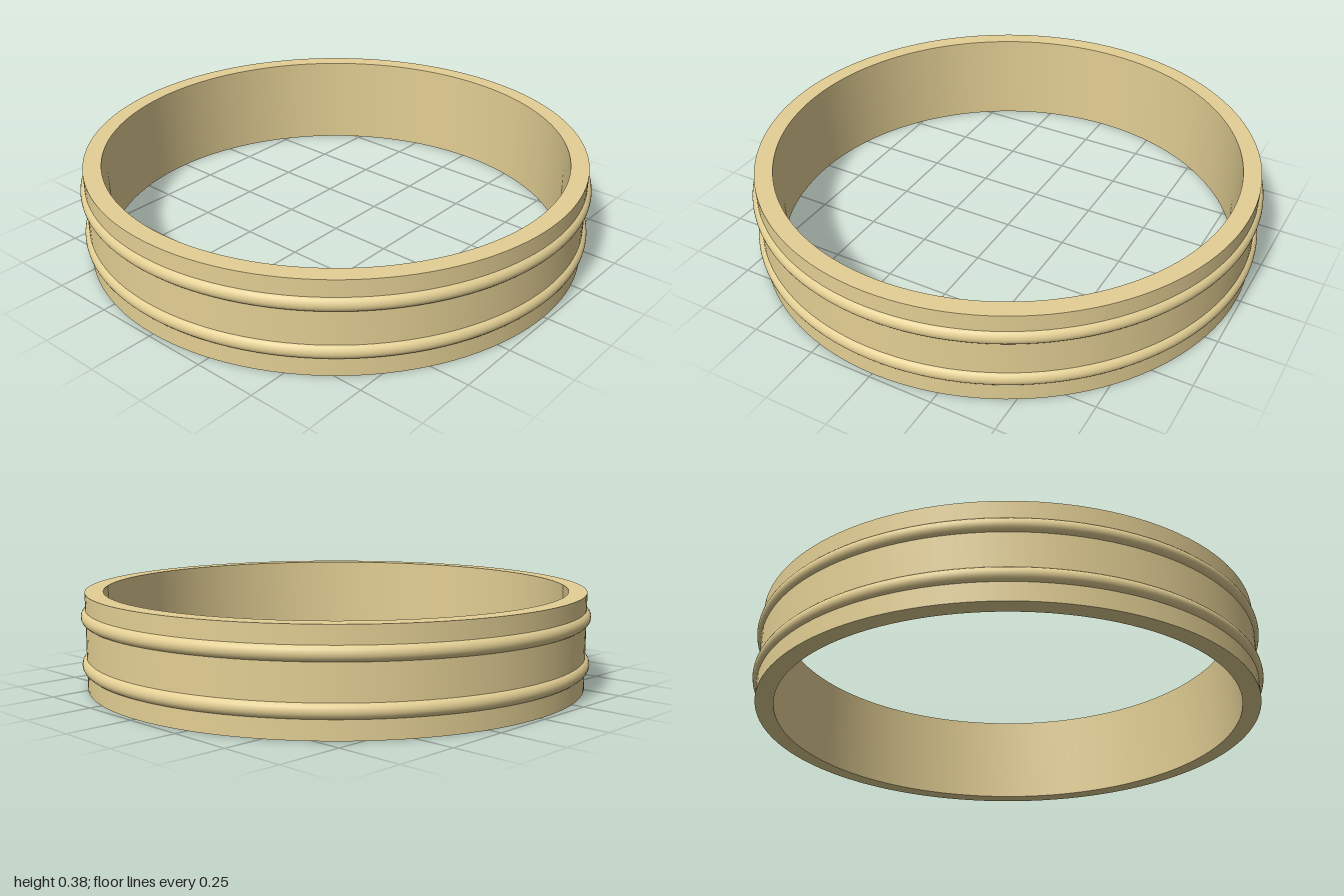
import * as THREE from 'three';
import { toCreasedNormals } from 'three/addons/utils/BufferGeometryUtils.js';

const HEIGHT = 0.375, INNER = 0.913, OUTER = 0.983;
const BEAD = 0.03, SEGMENTS = 128;

export function createModel() {
  const ring = new THREE.Group();
  ring.name = 'ring';
  const gold = new THREE.MeshStandardMaterial({ color: 0xe3cf94 });

  // Flat band: a rectangular section turned around the y axis
  const section = [
    [INNER, 0], [OUTER, 0], [OUTER, HEIGHT], [INNER, HEIGHT], [INNER, 0],
  ].map(([r, y]) => new THREE.Vector2(r, y));
  const band = new THREE.Mesh(
    toCreasedNormals(new THREE.LatheGeometry(section, SEGMENTS), 0.6), gold);
  band.name = 'band';
  ring.add(band);

  // Two round beads, half sunk into the outside of the band
  const beadGeometry = new THREE.TorusGeometry(1 - BEAD, BEAD, 24, SEGMENTS).rotateX(Math.PI / 2);
  for (const [name, y] of [['lowerBead', 0.097], ['upperBead', 0.282]]) {
    const bead = new THREE.Mesh(beadGeometry, gold);
    bead.name = name;
    bead.position.y = y;
    ring.add(bead);
  }
  return ring;
}
